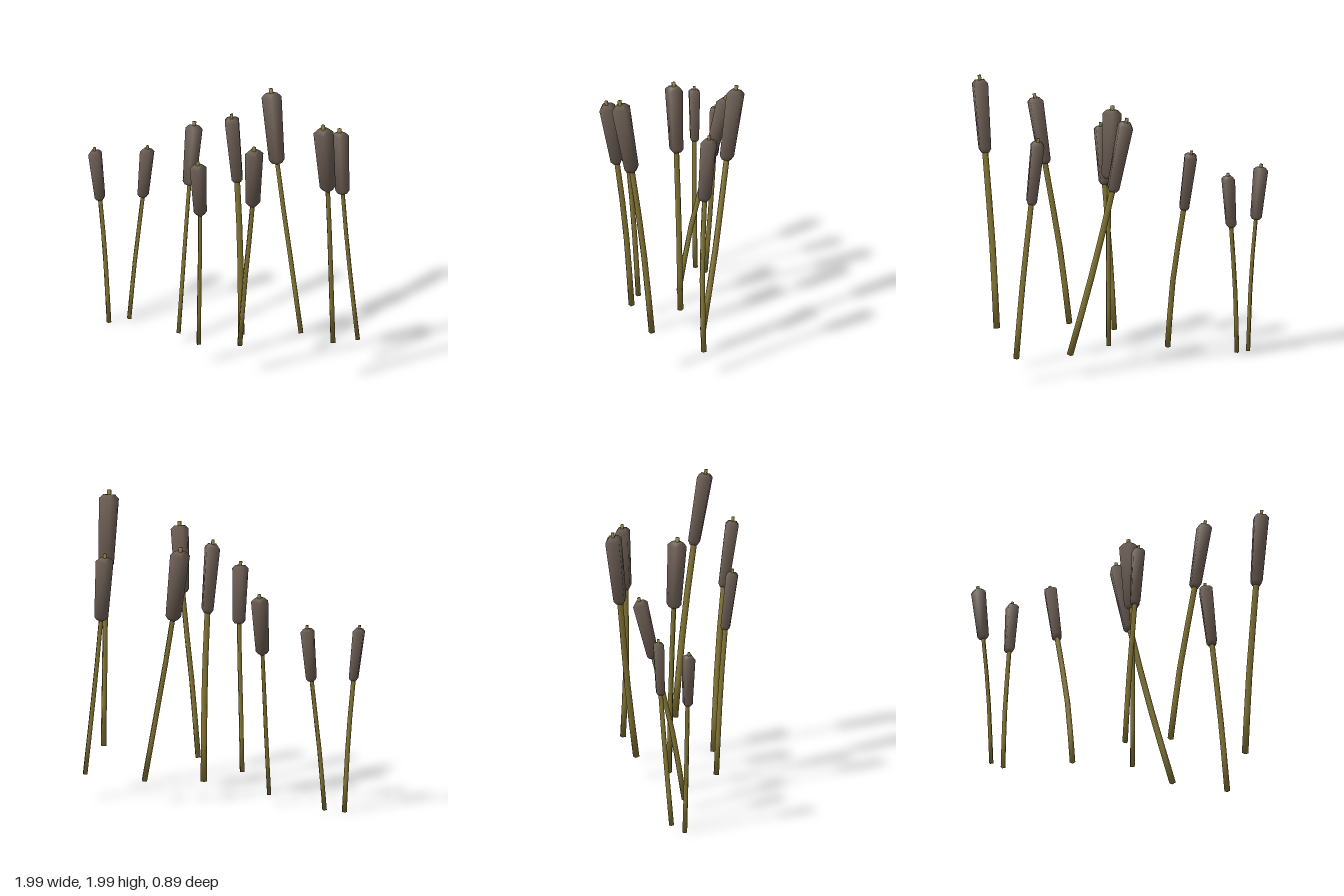
import * as THREE from 'three';

// Each reed: base, bend, neck (bottom of head), tip, turn in degrees
const REEDS = [
  [[-0.86, 0, 0.215], [-0.882, 0.5, 0.23], [-0.915, 0.89, 0.24], [-0.955, 1.265, 0.255], 24],
  [[-0.77, 0.02, 0.115], [-0.753, 0.45, 0.075], [-0.72, 0.9, 0.035], [-0.695, 1.275, 0.016], 12],
  [[-0.31, 0.07, 0.14], [-0.336, 0.56, 0.06], [-0.39, 1.06, -0.055], [-0.427, 1.48, -0.15], -8],
  [[0.405, 0.15, -0.275], [0.272, 0.67, -0.315], [0.13, 1.28, -0.345], [0.04, 1.785, -0.385], -3],
  [[0.02, 0.155, 0.31], [0.045, 0.64, 0.33], [0.08, 1.14, 0.36], [0.1, 1.55, 0.41], 3],
  [[0.107, 0.135, -0.015], [0.108, 0.7, -0.005], [0.1, 1.27, 0.015], [0.073, 1.76, 0.045], 41],
  [[0.33, 0.225, 0.25], [0.393, 0.75, 0.265], [0.487, 1.315, 0.295], [0.55, 1.78, 0.353], 6],
  [[0.785, 0.175, -0.413], [0.74, 0.66, -0.387], [0.68, 1.22, -0.38], [0.635, 1.675, -0.4], -4],
  [[0.865, 0.3, -0.077], [0.888, 0.88, -0.028], [0.925, 1.475, 0.04], [0.952, 1.985, 0.12], 0],
];

// Closed four-sided loft; each ring is { p, r, tilt }, tilt leans the soft normal along the axis
function loft(rings, axis, turn) {
  const u = new THREE.Vector3(1, 0, 0).addScaledVector(axis, -axis.x).normalize();
  const w = new THREE.Vector3().crossVectors(axis, u);
  const pos = [], nor = [], index = [];
  for (const { p, r, tilt } of rings) {
    for (let i = 0; i < 4; i++) {
      const a = turn + (i * Math.PI) / 2;
      const d = u.clone().multiplyScalar(Math.cos(a)).addScaledVector(w, Math.sin(a));
      pos.push(...p.clone().addScaledVector(d, r).toArray());
      nor.push(...d.addScaledVector(axis, tilt).normalize().toArray());
    }
  }
  for (let k = 0; k < rings.length - 1; k++) {
    for (let i = 0; i < 4; i++) {
      const a = k * 4 + i, b = k * 4 + ((i + 1) % 4);
      index.push(a, b, b + 4, a, b + 4, a + 4);
    }
  }
  const t = (rings.length - 1) * 4;
  index.push(0, 2, 1, 0, 3, 2, t, t + 1, t + 2, t, t + 2, t + 3);
  const g = new THREE.BufferGeometry();
  g.setAttribute('position', new THREE.Float32BufferAttribute(pos, 3));
  g.setAttribute('normal', new THREE.Float32BufferAttribute(nor, 3));
  g.setIndex(index);
  return g;
}

export function createModel() {
  const model = new THREE.Group();
  model.name = 'reeds';
  const stemMat = new THREE.MeshStandardMaterial({ color: 0x8c7d38 });
  stemMat.name = 'olive stem';
  const headMat = new THREE.MeshStandardMaterial({ color: 0x6e6056 });
  headMat.name = 'brown head';

  for (const [b, m, n, t, degrees] of REEDS) {
    const [base, bend, neck, tip] = [b, m, n, t].map((p) => new THREE.Vector3(...p));
    const size = tip.distanceTo(base);
    const turn = THREE.MathUtils.degToRad(degrees);
    const stemAxis = neck.clone().sub(base).normalize();
    const headAxis = tip.clone().sub(neck).normalize();
    const along = (s) => neck.clone().lerp(tip, s);
    const reed = new THREE.Group();
    reed.name = 'reed';
    const add = (name, geometry, material) => {
      const mesh = new THREE.Mesh(geometry, material);
      mesh.name = name;
      reed.add(mesh);
    };

    // Bent stem, running slightly into the head
    const curve = new THREE.CatmullRomCurve3([base, bend, neck, along(0.1)]);
    const stemRings = [0, 0.22, 0.45, 0.7, 1].map((s, i) => ({
      p: curve.getPointAt(s), r: size * (0.0128 - 0.001 * s), tilt: i === 0 ? -0.7 : 0,
    }));
    add('stem', loft(stemRings, stemAxis, turn), stemMat);

    // Square tapering head with bevelled ends: [position, radius, tilt]
    const profile = [[0, 0.02, -0.8], [0.05, 0.031, -0.25], [0.89, 0.0396, 0.3], [0.94, 0.024, 0.9]];
    const headRings = profile.map(([s, r, tilt]) => ({ p: along(s), r: r * size, tilt }));
    add('head', loft(headRings, headAxis, turn + Math.PI / 4), headMat);

    // Small spike on top
    const spikeRings = [[0.9, 0], [1, 0.7]].map(([s, tilt]) => ({ p: along(s), r: size * 0.0085, tilt }));
    add('spike', loft(spikeRings, headAxis, turn + Math.PI / 4), stemMat);
    model.add(reed);
  }
  return model;
}
